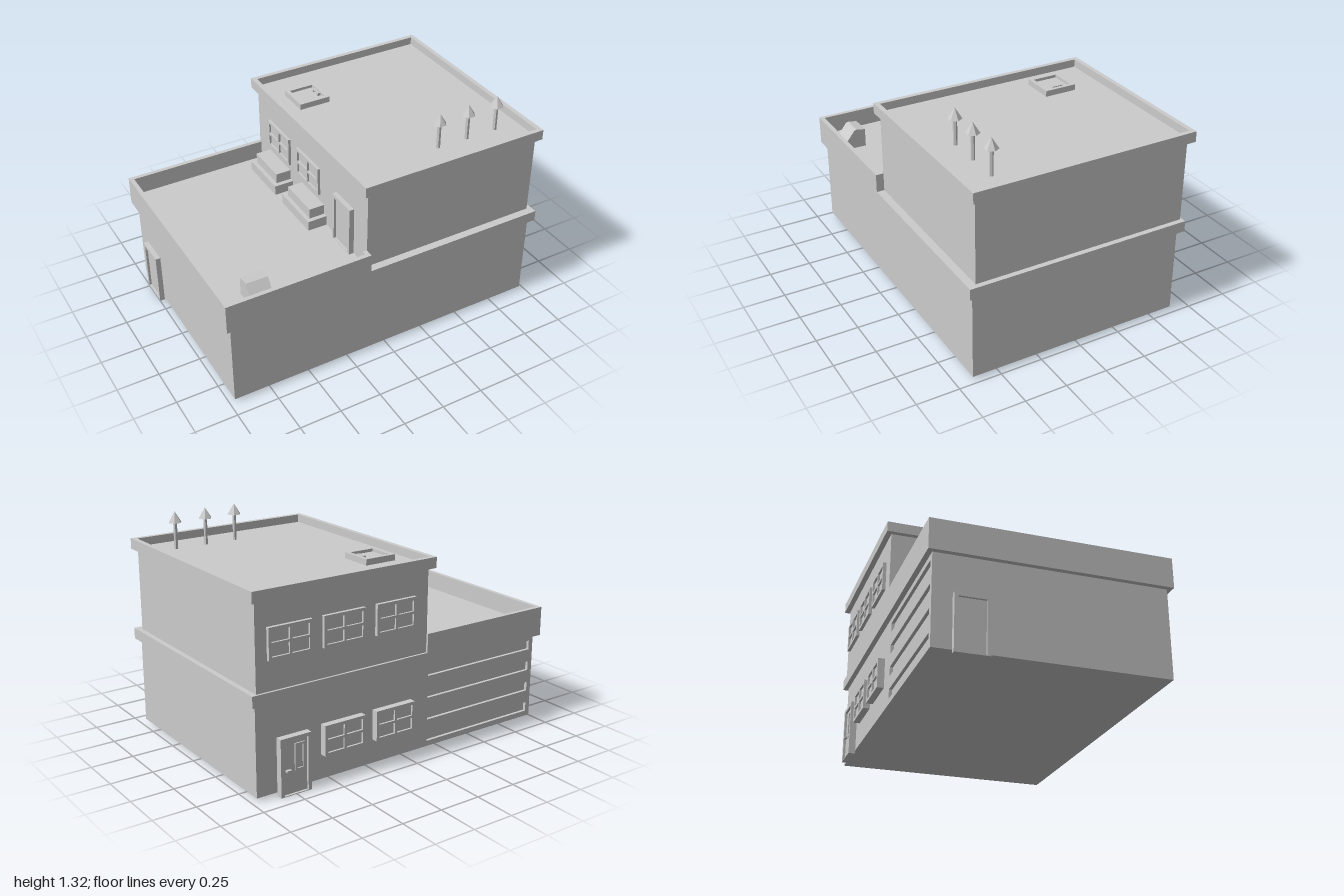
import * as THREE from 'three';

const grey = new THREE.MeshStandardMaterial({ color: 0xcccccc });
const flatGrey = new THREE.MeshStandardMaterial({ color: 0xcccccc, flatShading: true });

// Box given by its minimum and maximum corners
function box(name, parent, [x0, y0, z0], [x1, y1, z1]) {
  const mesh = new THREE.Mesh(new THREE.BoxGeometry(x1 - x0, y1 - y0, z1 - z0), grey);
  mesh.position.set((x0 + x1) / 2, (y0 + y1) / 2, (z0 + z1) / 2);
  mesh.name = name;
  parent.add(mesh);
  return mesh;
}

function rectangle(Type, x0, y0, x1, y1) {
  const r = new Type();
  r.moveTo(x0, y0);
  r.lineTo(x1, y0);
  r.lineTo(x1, y1);
  r.lineTo(x0, y1);
  r.closePath();
  return r;
}

// Flat plate in x/y with rectangular holes, from z = 0 to z = depth
function plate(name, parent, outer, holes, depth) {
  const shape = rectangle(THREE.Shape, ...outer);
  for (const h of holes) shape.holes.push(rectangle(THREE.Path, ...h));
  const mesh = new THREE.Mesh(new THREE.ExtrudeGeometry(shape, { depth, bevelEnabled: false }), grey);
  mesh.name = name;
  parent.add(mesh);
  return mesh;
}

// Horizontal rectangular ring, seen from above as x/z bounds
function ring(name, parent, [x0, z0, x1, z1], t, y0, y1) {
  const mesh = plate(name, parent, [x0, -z1, x1, -z0], [[x0 + t, -z1 + t, x1 - t, -z0 - t]], y1 - y0);
  mesh.rotation.x = -Math.PI / 2;
  mesh.position.y = y0;
  return mesh;
}

// Groups on a wall: local +z points out of the wall
function onWall(name, parent, x, y, z, angle) {
  const g = new THREE.Group();
  g.name = name;
  g.position.set(x, y, z);
  g.rotation.y = angle;
  parent.add(g);
  return g;
}
const BACK = Math.PI, SIDE = -Math.PI / 2;

// Four-pane window centred on its origin
function addWindow(parent, x, y, z, angle, depth) {
  const g = onWall('window', parent, x, y, z, angle);
  const w = 0.132, h = 0.088, b = 0.018, m = 0.007, panes = [];
  for (const [x0, x1] of [[-w + b, -m], [m, w - b]])
    for (const [y0, y1] of [[-h + b, -m], [m, h - b]]) panes.push([x0, y0, x1, y1]);
  plate('windowFrame', g, [-w, -h, w, h], panes, depth);
  box('windowGlass', g, [-w + 0.01, -h + 0.01, -0.005], [w - 0.01, h - 0.01, depth - 0.012]);
}

// Door frame and leaf standing on its origin
function addDoor(parent, x, y, z, angle, height, depth, glazed) {
  const g = onWall('door', parent, x, y, z, angle);
  const w = 0.095, b = 0.02, inset = depth - 0.014;
  plate('doorFrame', g, [-w, 0, w, height], [[-w + b, 0.004, w - b, height - b]], depth);
  box('doorLeaf', g, [-w + b, 0.004, 0], [w - b, height - b, inset]);
  if (glazed) {
    const pane = plate('doorPane', g, [-0.002, 0.13, 0.06, 0.285], [[0.01, 0.142, 0.048, 0.273]], 0.008);
    pane.position.z = inset;
    box('doorHandle', g, [-0.06, 0.136, inset], [-0.03, 0.146, depth + 0.004]);
  }
}

// Ground floor, with a slotted shutter sunk into the back wall
function addGroundFloor(root) {
  box('groundFloor', root, [-0.97, 0.02, -0.616], [0.97, 0.535, 0.655]);
  const slots = [];
  for (let i = 0; i < 4; i++) slots.push([0.16, 0.052 + i * 0.132, 0.94, 0.107 + i * 0.132]);
  const wall = plate('backWallWithShutterSlots', root, [-0.97, 0.02, 0.97, 0.535], slots, 0.018);
  wall.rotation.y = BACK;
  wall.position.z = -0.616;
  for (const x of [0.435, 0.095]) addWindow(root, x, 0.25, -0.634, BACK, 0.04);
  addDoor(root, 0.75, 0, -0.634, BACK, 0.33, 0.04, true);
  addDoor(root, -0.97, 0, -0.43, SIDE, 0.32, 0.03, false);
}

// Ledge round the building and the terrace parapet standing on it
function addTerrace(root) {
  const zb = -0.663, zf = 0.682, t = 0.026, top = 0.71;
  box('ledge', root, [-1, 0.535, zb], [1, 0.6, zf]);
  box('parapetSide', root, [-1, 0.6, zb], [-1 + t, top, zf]);
  box('parapetFront', root, [-1 + t, 0.6, zf - t], [-0.128, top, zf]);
  box('parapetBack', root, [-1 + t, 0.6, zb], [-0.128, top, zb + t]);
  box('parapetReturn', root, [-0.155, 0.6, 0.63], [-0.128, top, zf - t]);

  // Stepped units under the terrace windows
  for (const z of [-0.38, 0.03]) {
    box('unitBase', root, [-0.25, 0.6, z - 0.16], [-0.13, 0.66, z + 0.16]);
    box('unitTop', root, [-0.225, 0.66, z - 0.132], [-0.13, 0.722, z + 0.132]);
  }

  // Hooded vent, a side profile extruded along x
  const hood = new THREE.Shape([[0.5, 0.6], [0.5, 0.712], [0.555, 0.722], [0.57, 0.718], [0.62, 0.655], [0.62, 0.6]]
    .map(([z, y]) => new THREE.Vector2(-z, y)));
  const vent = new THREE.Mesh(new THREE.ExtrudeGeometry(hood, { depth: 0.13, bevelEnabled: false }), grey);
  vent.rotation.y = Math.PI / 2;
  vent.position.x = -0.83;
  vent.name = 'hoodedVent';
  root.add(vent);
}

// Upper floor with its cornice, windows and terrace door
function addUpperFloor(root) {
  box('upperFloor', root, [-0.13, 0.6, -0.65], [0.97, 1.085, 0.635]);
  box('upperRoof', root, [-0.14, 1.085, -0.66], [0.98, 1.1, 0.645]);
  ring('cornice', root, [-0.16, -0.682, 1, 0.66], 0.028, 1.085, 1.147);
  for (const x of [0.77, 0.435, 0.095]) addWindow(root, x, 0.855, -0.65, BACK, 0.02);
  for (const z of [-0.37, -0.015]) addWindow(root, -0.13, 0.855, z, SIDE, 0.016);
  addDoor(root, -0.13, 0.6, 0.4, SIDE, 0.3, 0.03, false);
}

// Roof hatch and capped vent pipes
function addRoofDetails(root) {
  ring('hatchFrame', root, [-0.04, -0.47, 0.155, -0.275], 0.022, 1.1, 1.135);
  box('hatchLid', root, [-0.02, 1.1, -0.45], [0.135, 1.118, -0.295]);
  box('hatchHandle', root, [0.113, 1.128, -0.405], [0.125, 1.136, -0.34]);
  for (const z of [-0.4, -0.345]) box('handlePost', root, [0.11, 1.118, z - 0.006], [0.128, 1.13, z + 0.006]);

  for (const x of [0.43, 0.622, 0.815]) {
    const pipe = new THREE.Mesh(new THREE.CylinderGeometry(0.012, 0.012, 0.16, 6), flatGrey);
    pipe.position.set(x, 1.18, 0.457);
    pipe.name = 'ventPipe';
    const cap = new THREE.Mesh(new THREE.ConeGeometry(0.04, 0.063, 6), flatGrey);
    cap.position.set(x, 1.285, 0.457);
    cap.name = 'ventCap';
    pipe.rotation.y = cap.rotation.y = Math.PI / 6;
    root.add(pipe, cap);
  }
}

export function createModel() {
  const root = new THREE.Group();
  root.name = 'building';
  addGroundFloor(root);
  addTerrace(root);
  addUpperFloor(root);
  addRoofDetails(root);
  return root;
}
